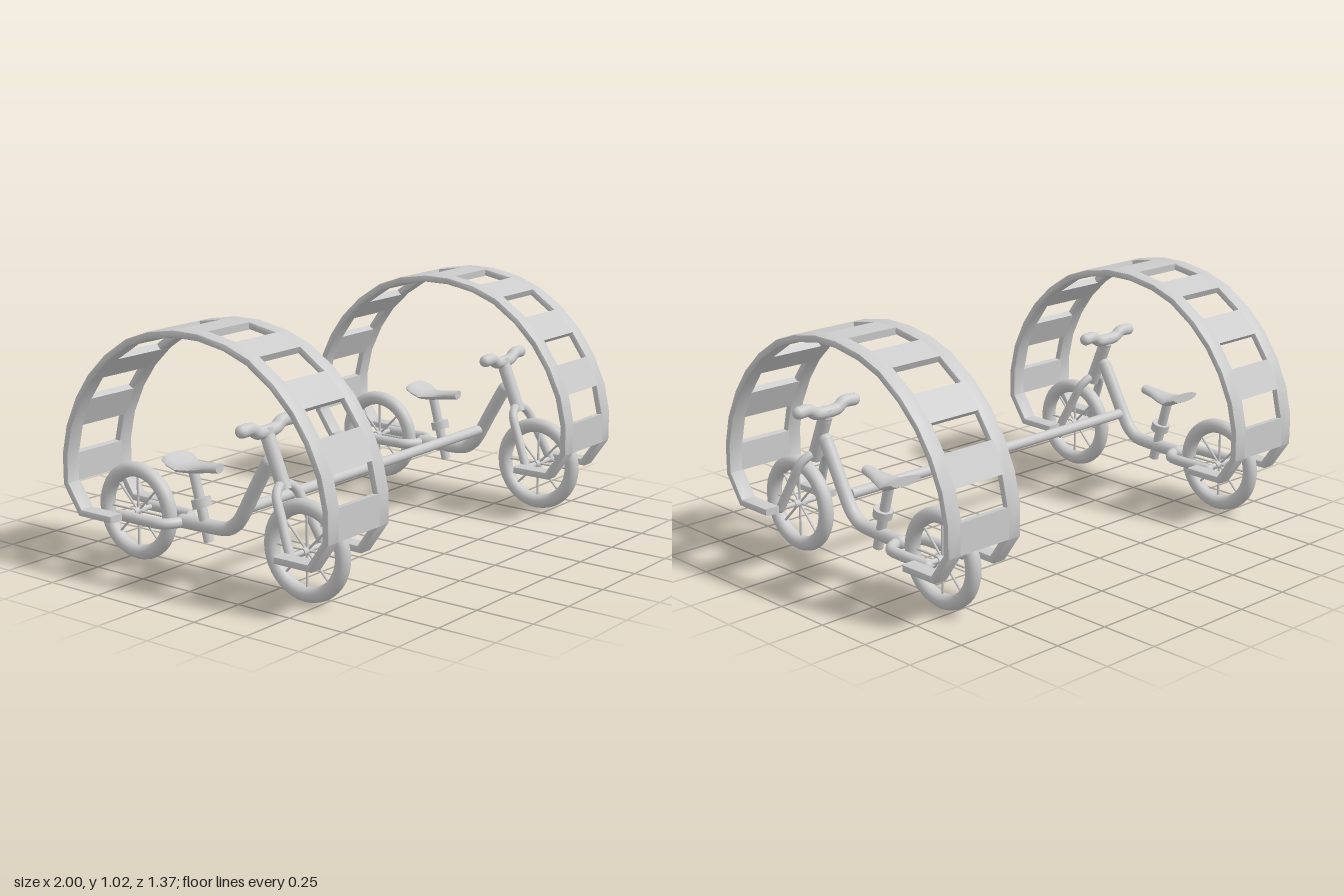
import * as THREE from 'three';
import { toCreasedNormals } from 'three/addons/utils/BufferGeometryUtils.js';

const mat = new THREE.MeshStandardMaterial({ color: 0xcccccc });
const V = (x, y, z) => new THREE.Vector3(x, y, z);
const FRONT_Z = 0.435, REAR_Z = -0.445, AXLE_Y = 0.205;

function add(parent, name, geometry) {
  const mesh = new THREE.Mesh(geometry, mat);
  mesh.name = name;
  parent.add(mesh);
  return mesh;
}

// straight round bar between two points
function bar(parent, name, a, b, r0, r1 = r0, sides = 16) {
  const mesh = add(parent, name, new THREE.CylinderGeometry(r1, r0, a.distanceTo(b), sides));
  mesh.position.copy(a).add(b).multiplyScalar(0.5);
  mesh.quaternion.setFromUnitVectors(V(0, 1, 0), b.clone().sub(a).normalize());
  return mesh;
}

// bent round tube with closed ends
function tube(parent, name, pts, r, tension = 0.5) {
  const curve = new THREE.CatmullRomCurve3(pts, false, 'catmullrom', tension);
  add(parent, name, new THREE.TubeGeometry(curve, pts.length * 8, r, 14));
  for (const p of [pts[0], pts[pts.length - 1]]) {
    add(parent, name + 'End', new THREE.SphereGeometry(r, 14, 8)).position.copy(p);
  }
}

// outline drawn in (z, y), extruded across x and centred
function slab(outline, width, bevel = 0) {
  const shape = new THREE.Shape(outline);
  const depth = width - 2 * bevel;
  const g = new THREE.ExtrudeGeometry(shape, {
    depth, bevelEnabled: bevel > 0, bevelThickness: bevel, bevelSize: bevel,
    bevelOffset: -bevel, bevelSegments: 2,
  });
  g.translate(0, 0, -depth / 2).rotateY(-Math.PI / 2);
  return toCreasedNormals(g, 0.7);
}

// centre line of half the arch, top to axle
const HALF = [[0.06, 1.008], [0.194, 0.985], [0.307, 0.944], [0.422, 0.868], [0.514, 0.78], [0.584, 0.682],
  [0.641, 0.563], [0.669, 0.442], [0.669, 0.32], [0.592, 0.21], [0.42, 0.21]];

// offset the arch line to both faces of the band
function archFaces(half) {
  const p = [...half.slice().reverse().map(([z, y]) => [-z, y]), ...half]
    .map(([z, y]) => new THREE.Vector2(z, y));
  const side = (d) => p.map((c, i) => {
    const dirs = [];
    if (i > 0) dirs.push(c.clone().sub(p[i - 1]).normalize());
    if (i < p.length - 1) dirs.push(p[i + 1].clone().sub(c).normalize());
    const n = dirs.map((t) => new THREE.Vector2(-t.y, t.x));
    const m = n.reduce((s, v) => s.add(v), new THREE.Vector2()).normalize();
    return c.clone().addScaledVector(m, d / m.dot(n[0]));
  });
  return { outer: side(0.015), inner: side(-0.015) };
}

function buildArch(bike) {
  const arch = new THREE.Group();
  arch.name = 'archCage';
  bike.add(arch);
  const { outer, inner } = archFaces(HALF);
  // two side rails, running down and in to the axles
  for (const s of [-1, 1]) {
    add(arch, 'archRail', slab([...inner, ...outer.slice().reverse()], 0.07, 0.008)).position.x = s * 0.15;
  }
  // slats fill every second segment, leaving windows between them
  for (let i = 2; i < outer.length - 2; i += 2) {
    add(arch, 'archSlat', slab([inner[i], inner[i + 1], outer[i + 1], outer[i]], 0.25));
  }
}

function buildWheel(bike, z, name) {
  const wheel = new THREE.Group();
  wheel.name = name;
  wheel.position.set(0, AXLE_Y, z);
  bike.add(wheel);
  add(wheel, 'tyre', new THREE.TorusGeometry(0.173, 0.031, 14, 40).rotateY(Math.PI / 2));
  for (let i = 0; i < 8; i++) {
    const a = (i * Math.PI) / 4;
    bar(wheel, 'spoke', V(0, 0, 0), V(0, 0.16 * Math.sin(a), 0.16 * Math.cos(a)), 0.005, 0.005, 8);
  }
  bar(wheel, 'hub', V(-0.03, 0, 0), V(0.03, 0, 0), 0.016);
  bar(wheel, 'axle', V(-0.13, 0, 0), V(0.13, 0, 0), 0.011);
}

function buildSaddle(bike) {
  // cross-sections along the saddle: z, height, half width
  const rows = [[0, 0.455, 0.024], [-0.06, 0.447, 0.036], [-0.12, 0.437, 0.055],
    [-0.17, 0.436, 0.075], [-0.21, 0.455, 0.087], [-0.24, 0.466, 0.075]];
  const n = 14, pos = [], idx = [];
  for (const [z, y, w] of rows) {
    for (let j = 0; j < n; j++) {
      const a = (j / n) * Math.PI * 2;
      pos.push(w * Math.cos(a), y + 0.02 * Math.sin(a), z);
    }
  }
  for (let i = 0; i < rows.length - 1; i++) {
    for (let j = 0; j < n; j++) {
      const a = i * n + j, b = i * n + ((j + 1) % n);
      idx.push(a, a + n, b, b, a + n, b + n);
    }
  }
  const last = (rows.length - 1) * n;
  for (let j = 1; j < n - 1; j++) idx.push(0, j, j + 1, last, last + j + 1, last + j);
  const g = new THREE.BufferGeometry();
  g.setAttribute('position', new THREE.Float32BufferAttribute(pos, 3));
  g.setIndex(idx);
  add(bike, 'saddle', toCreasedNormals(g, 0.9));
  bar(bike, 'seatPost', V(0, 0.145, -0.062), V(0, 0.43, -0.14), 0.021);
  const clamp = add(bike, 'seatClamp', new THREE.CylinderGeometry(0.04, 0.04, 0.036, 16));
  clamp.position.set(0, 0.3, -0.098);
  clamp.rotation.x = -0.27;
}

function buildBike() {
  const bike = new THREE.Group();
  bike.name = 'bicycle';
  buildArch(bike);
  buildWheel(bike, FRONT_Z, 'frontWheel');
  buildWheel(bike, REAR_Z, 'rearWheel');
  buildSaddle(bike);

  // main frame tube, swept down from the head and along the bottom
  tube(bike, 'frameTube', [V(0, 0.52, 0.25), V(0, 0.4, 0.18), V(0, 0.28, 0.112), V(0, 0.235, 0.07),
    V(0, 0.214, 0.02), V(0, 0.208, -0.1), V(0, 0.206, -0.2)], 0.029);
  // rear stays either side of the wheel
  tube(bike, 'rearStay', [V(-0.09, AXLE_Y, -0.46), V(-0.09, AXLE_Y, -0.3), V(-0.075, AXLE_Y, -0.23),
    V(0, AXLE_Y, -0.195), V(0.075, AXLE_Y, -0.23), V(0.09, AXLE_Y, -0.3), V(0.09, AXLE_Y, -0.46)], 0.022);
  // fork: splayed legs joined by an arched crown
  tube(bike, 'fork', [V(-0.1, 0.205, FRONT_Z), V(-0.08, 0.32, 0.382), V(-0.06, 0.415, 0.338),
    V(0, 0.45, 0.32), V(0.06, 0.415, 0.338), V(0.08, 0.32, 0.382), V(0.1, 0.205, FRONT_Z)], 0.019);
  // steering column and handlebar
  bar(bike, 'steeringColumn', V(0, 0.425, 0.328), V(0, 0.625, 0.245), 0.029);
  bar(bike, 'handlebarStem', V(0, 0.6, 0.25), V(0, 0.655, 0.24), 0.026);
  tube(bike, 'handlebar', [V(-0.14, 0.665, 0.238), V(-0.09, 0.665, 0.24), V(-0.045, 0.642, 0.24),
    V(0.045, 0.642, 0.24), V(0.09, 0.665, 0.24), V(0.14, 0.665, 0.238)], 0.026);
  return bike;
}

export function createModel() {
  const model = new THREE.Group();
  model.name = 'twinBicycle';
  for (const s of [-1, 1]) {
    const bike = buildBike();
    bike.position.x = s * 0.815;
    model.add(bike);
  }
  // bar coupling the two frames
  bar(model, 'couplingBar', V(-0.79, 0.315, 0.13), V(0.79, 0.315, 0.13), 0.022);
  return model;
}
